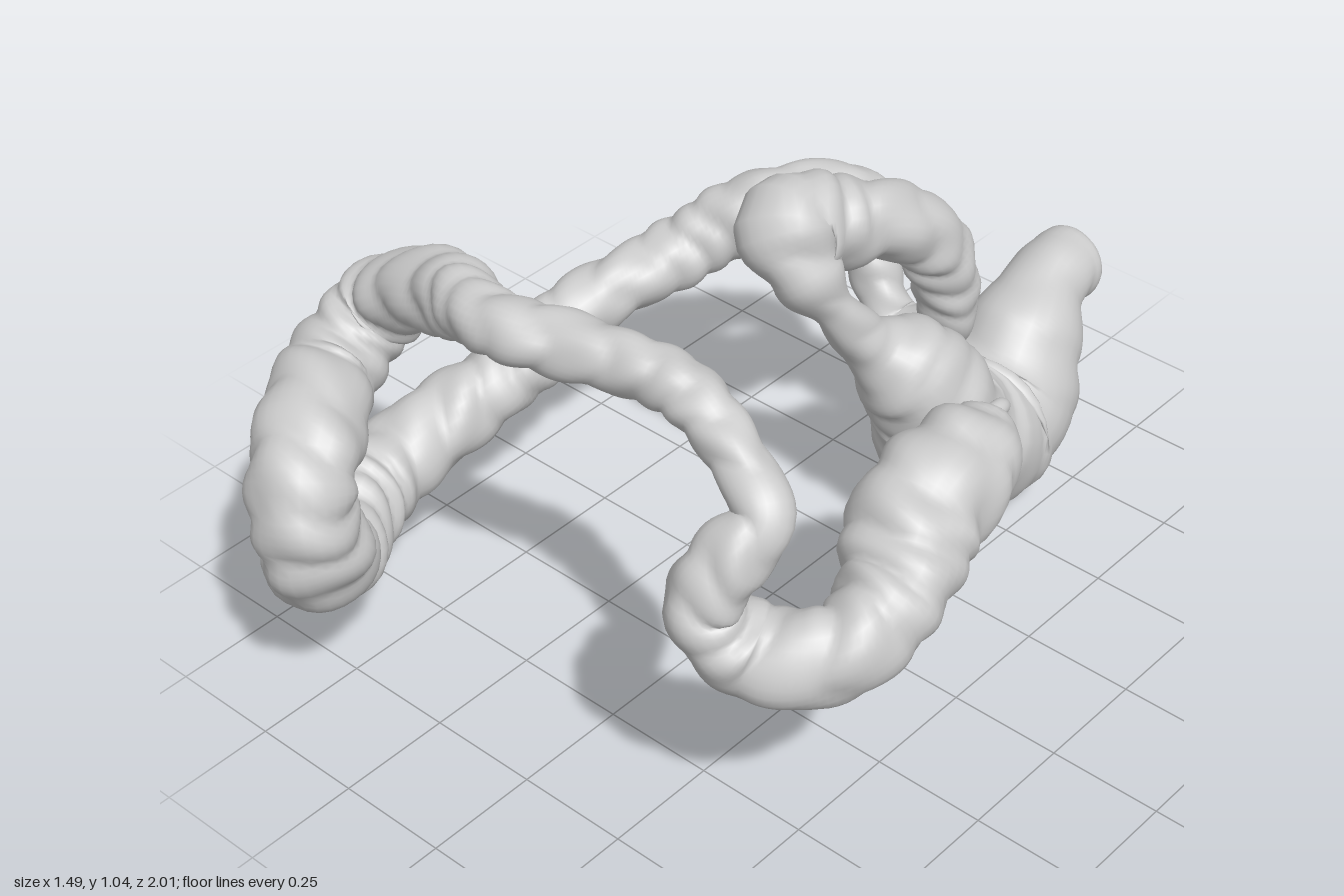
import * as THREE from 'three';

const SIDES = 28;

// Centre line stations: x, y, z, radius
const RECTUM = [
  [0.06, 0.41, -1.0, 0.085], [0.06, 0.41, -0.88, 0.09], [0.085, 0.32, -0.75, 0.14],
  [0.095, 0.235, -0.67, 0.172], [0.1, 0.198, -0.56, 0.186], [0.13, 0.235, -0.46, 0.17],
  [0.14, 0.315, -0.39, 0.148],
];
const SIGMOID = [
  [0.13, 0.415, -0.355, 0.137], [0.11, 0.5, -0.3, 0.12], [0.063, 0.6, -0.215, 0.06],
  [0.04, 0.71, -0.14, 0.045],
  [0.0, 0.8, -0.1, 0.075], [-0.05, 0.865, -0.115, 0.115], [-0.03, 0.84, -0.23, 0.1],
  [0.02, 0.81, -0.35, 0.085], [0.05, 0.73, -0.44, 0.078], [0.06, 0.6, -0.49, 0.068],
  [0.03, 0.45, -0.52, 0.055], [-0.08, 0.42, -0.51, 0.055], [-0.16, 0.53, -0.52, 0.055],
  [-0.19, 0.67, -0.54, 0.055], [-0.24, 0.72, -0.48, 0.055],
];
const DESCENDING = [
  [-0.34, 0.69, -0.36, 0.08], [-0.45, 0.595, -0.21, 0.073], [-0.53, 0.53, 0.0, 0.075],
  [-0.575, 0.435, 0.22, 0.082], [-0.625, 0.36, 0.42, 0.092], [-0.62, 0.315, 0.59, 0.108],
  [-0.52, 0.335, 0.77, 0.105], [-0.425, 0.45, 0.87, 0.107], [-0.43, 0.6, 0.89, 0.107],
  [-0.5, 0.67, 0.79, 0.105], [-0.6, 0.68, 0.65, 0.1],
];
const TRANSVERSE = [
  [-0.6, 0.76, 0.52, 0.09], [-0.48, 0.86, 0.51, 0.085], [-0.32, 0.935, 0.55, 0.078],
  [-0.14, 0.985, 0.61, 0.065], [0.05, 0.985, 0.56, 0.06], [0.24, 0.97, 0.52, 0.06],
  [0.4, 0.905, 0.55, 0.053], [0.48, 0.84, 0.58, 0.06], [0.45, 0.76, 0.65, 0.07],
];
const ASCENDING = [
  [0.425, 0.66, 0.685, 0.075], [0.49, 0.58, 0.64, 0.087], [0.58, 0.57, 0.59, 0.085],
  [0.635, 0.585, 0.52, 0.09], [0.63, 0.625, 0.4, 0.105], [0.58, 0.69, 0.27, 0.12],
];
const CECUM = [[0.555, 0.71, 0.12, 0.12], [0.54, 0.71, -0.04, 0.075]];
const APPENDIX = [
  [0.52, 0.71, 0.04, 0.045], [0.5, 0.7, -0.03, 0.03],
  [0.5, 0.71, -0.09, 0.018], [0.48, 0.68, -0.14, 0.012],
];

const material = new THREE.MeshStandardMaterial({ color: 0xcccccc, side: THREE.DoubleSide });

// Sweep one tube through consecutive sections, then split it into named meshes
function sweep(sections, rings, cap, lumpiness) {
  const stations = sections.flatMap((s) => s.points);
  const last = stations.length - 1;
  const curve = new THREE.CatmullRomCurve3(stations.map(([x, y, z]) => new THREE.Vector3(x, y, z)));
  curve.arcLengthDivisions = 1000;
  const length = curve.getLength();
  const { normals, binormals } = curve.computeFrenetFrames(rings, false);
  const positions = [], ringT = [];
  const dir = new THREE.Vector3(), p = new THREE.Vector3();

  for (let i = 0; i <= rings; i++) {
    const u = i / rings, t = curve.getUtoTmapping(u) * last, d = u * length;
    ringT.push(t);
    const k = Math.min(Math.floor(t), last - 1);
    const base = THREE.MathUtils.lerp(stations[k][3], stations[k + 1][3],
      THREE.MathUtils.smoothstep(t - k, 0, 1));
    // Rounded closed ends
    const e = Math.min(1, Math.min(d, length - d) / cap);
    const round = Math.sqrt(Math.max(0, 1 - (1 - e) ** 2));
    // Uneven pouches, weaker along the smooth rectum
    const amount = lumpiness * THREE.MathUtils.clamp((d - 0.2) / 1.5, 0.3, 1);
    const centre = curve.getPointAt(u);
    for (let j = 0; j < SIDES; j++) {
      const a = (j / SIDES) * Math.PI * 2;
      const phase = d * 33 + 0.8 * Math.sin(a * 2 + d * 5) + 0.8 * Math.sin(d * 13);
      const pouch = Math.abs(Math.sin(phase)) - 0.6;
      const lump = Math.sin(a * 3 + d * 11) * Math.sin(d * 23 + a) + 0.6 * Math.sin(d * 17 - a * 2);
      const r = base * round * (1 + amount * (0.13 * pouch + 0.06 * lump));
      dir.copy(normals[i]).multiplyScalar(Math.cos(a)).addScaledVector(binormals[i], Math.sin(a));
      p.copy(centre).addScaledVector(dir, r);
      positions.push(p.x, p.y, p.z);
    }
  }

  const bandIndex = (count) => {
    const index = [];
    for (let i = 0; i < count; i++) {
      for (let j = 0; j < SIDES; j++) {
        const a = i * SIDES + j, c = i * SIDES + ((j + 1) % SIDES);
        index.push(a, c, a + SIDES, c, c + SIDES, a + SIDES);
      }
    }
    return index;
  };

  // Normals come from the whole tube so that sections join without a seam
  const whole = new THREE.BufferGeometry();
  whole.setAttribute('position', new THREE.Float32BufferAttribute(positions, 3));
  whole.setIndex(bandIndex(rings));
  whole.computeVertexNormals();

  let from = 0, stationCount = 0;
  return sections.map(({ name, points }) => {
    stationCount += points.length;
    const end = ringT.findIndex((t) => t >= stationCount - 0.5);
    const to = end < 0 ? rings : end;
    const geometry = new THREE.BufferGeometry();
    for (const key of ['position', 'normal']) {
      const part = whole.attributes[key].array.slice(from * SIDES * 3, (to + 1) * SIDES * 3);
      geometry.setAttribute(key, new THREE.BufferAttribute(part, 3));
    }
    geometry.setIndex(bandIndex(to - from));
    from = to;
    const mesh = new THREE.Mesh(geometry, material);
    mesh.name = name;
    return mesh;
  });
}

export function createModel() {
  const group = new THREE.Group();
  group.name = 'largeIntestine';
  group.add(...sweep([
    { name: 'rectum', points: RECTUM },
    { name: 'sigmoidColon', points: SIGMOID },
    { name: 'descendingColon', points: DESCENDING },
    { name: 'transverseColon', points: TRANSVERSE },
    { name: 'ascendingColon', points: ASCENDING },
    { name: 'cecum', points: CECUM },
  ], 640, 0.05, 1));
  group.add(...sweep([{ name: 'appendix', points: APPENDIX }], 30, 0.015, 0.5));
  return group;
}
